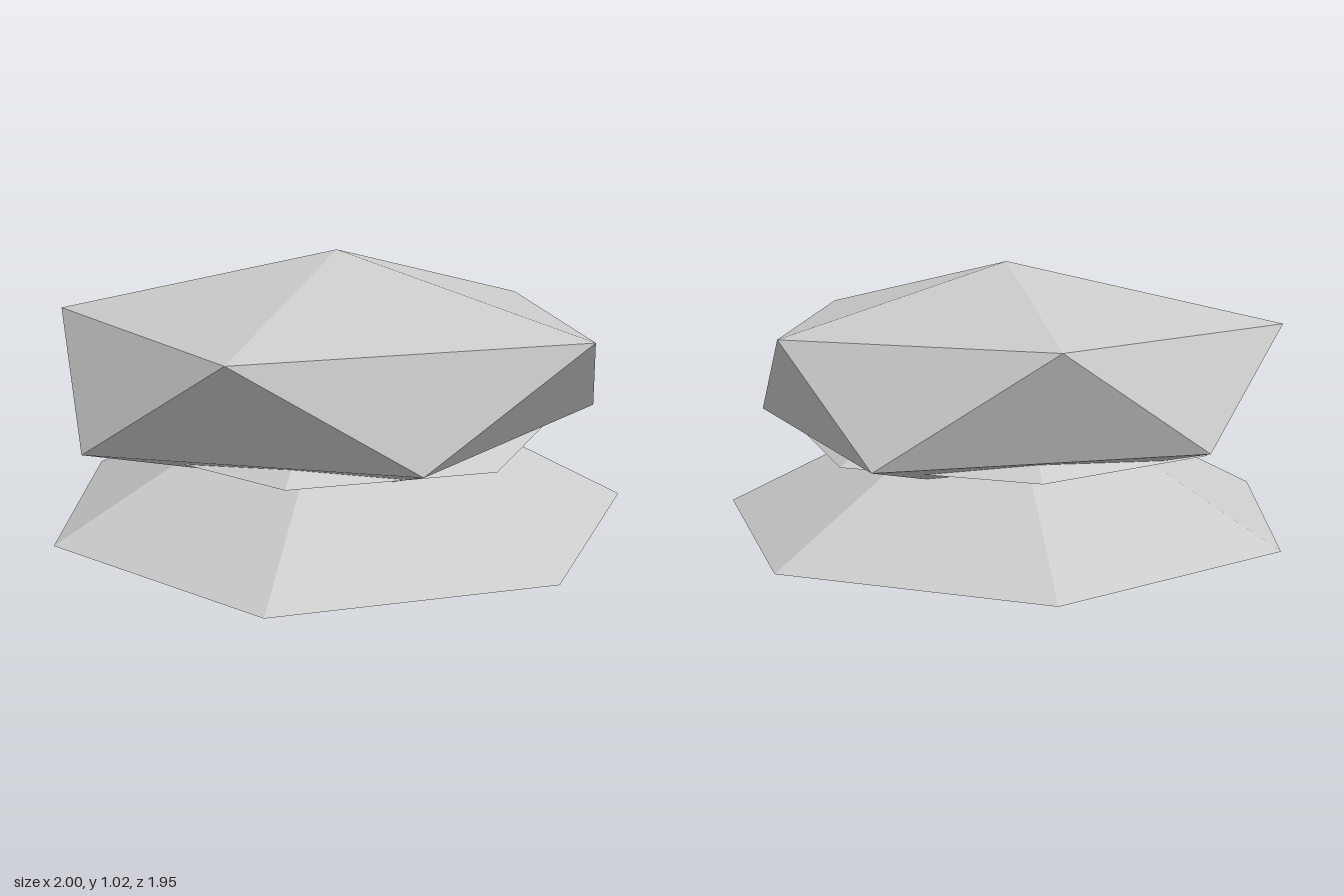
import * as THREE from 'three';

const AXIS_Z = 0.05; // the tree's axis sits slightly forward
const foliage = new THREE.MeshStandardMaterial({ color: 0xcccccc, flatShading: true });
const bark = new THREE.MeshStandardMaterial({ color: 0x7d5a3c, flatShading: true });

// Tapered upright prism with one corner pointing to the back
function tapered(name, rTop, rBottom, y0, y1, sides, material) {
  const geo = new THREE.CylinderGeometry(rTop, rBottom, y1 - y0, sides);
  geo.rotateY(Math.PI);
  const mesh = new THREE.Mesh(geo, material);
  mesh.name = name;
  mesh.position.set(0, (y0 + y1) / 2, AXIS_Z);
  return mesh;
}

// Squashed, uneven icosahedron: two tips and two staggered rings of five
function createCrown() {
  const top = [0, 1.025, 0.05];
  const bottom = [0.1, 0.19, 0.05];
  const upper = [[0.97, 0.82, 0.05], [0.29, 0.82, 0.94], [-0.78, 0.82, 0.61],
    [-0.69, 0.82, -0.45], [0.26, 0.8, -0.75]];
  const lower = [[0.69, 0.475, 0.55], [-0.3, 0.46, 0.96], [-0.87, 0.47, 0.05],
    [-0.28, 0.465, -0.82], [0.73, 0.475, -0.49]];
  const points = [];
  for (let k = 0; k < 5; k++) {
    const n = (k + 1) % 5;
    points.push(
      top, upper[n], upper[k],
      upper[k], upper[n], lower[k],
      upper[n], lower[n], lower[k],
      bottom, lower[k], lower[n],
    );
  }
  const geo = new THREE.BufferGeometry();
  geo.setAttribute('position', new THREE.Float32BufferAttribute(points.flat(), 3));
  geo.computeVertexNormals();
  const mesh = new THREE.Mesh(geo, foliage);
  mesh.name = 'crown';
  return mesh;
}

export function createModel() {
  const tree = new THREE.Group();
  tree.name = 'tree';
  tree.add(
    tapered('trunk', 0.09, 0.11, 0, 0.4, 5, bark),
    tapered('lowerBranches', 0, 1.026, 0.13, 0.655, 7, foliage),
    tapered('middleBranches', 0, 0.765, 0.415, 0.82, 7, foliage),
    createCrown(),
  );
  return tree;
}
